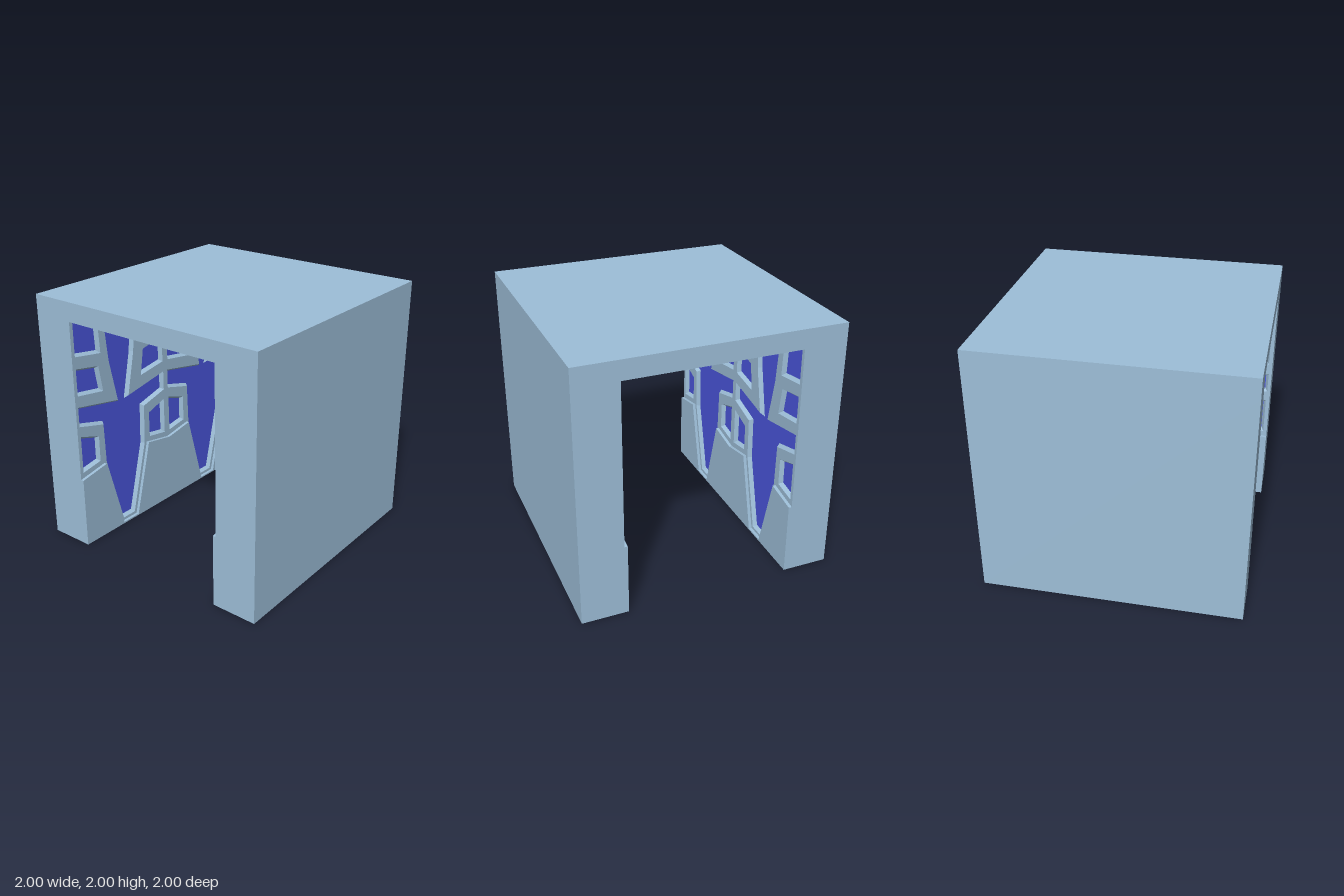
import * as THREE from 'three';

const stone = new THREE.MeshStandardMaterial({ color: 0x9dbed8 });
stone.name = 'blue grey stone';
const glass = new THREE.MeshStandardMaterial({ color: 0x4b57de });
glass.name = 'deep blue glass';

// Distances from the tunnel axis to each layer of the inner walls
const PANEL = 0.64, FRAME = 0.665, GLASS = 0.695, CORE = 0.7;
const CEILING = 1.852, INSET = 0.02;

const vecs = (pts) => pts.map(([x, y]) => new THREE.Vector2(x, y));

function add(parent, name, geometry, material, x = 0, y = 0, z = 0) {
  const mesh = new THREE.Mesh(geometry, material);
  mesh.name = name;
  mesh.position.set(x, y, z);
  parent.add(mesh);
  return mesh;
}

// Shrinks a counter-clockwise outline by a constant distance
function shrink(pts, d) {
  const normal = (a, b) => new THREE.Vector2(a.y - b.y, b.x - a.x).normalize();
  return pts.map((p, i) => {
    const n1 = normal(pts[(i + pts.length - 1) % pts.length], p);
    const n2 = normal(p, pts[(i + 1) % pts.length]);
    const k = d / (1 + n1.dot(n2));
    return p.clone().add(n1.add(n2).multiplyScalar(k));
  });
}

// Sloping rim from an opening's edge down to the glass
function rimGeometry(pts) {
  const inner = shrink(pts, INSET);
  const pos = [];
  pts.forEach((p, i) => {
    const j = (i + 1) % pts.length;
    const a = [p.x, p.y, -FRAME], b = [pts[j].x, pts[j].y, -FRAME];
    const c = [inner[j].x, inner[j].y, -GLASS], d = [inner[i].x, inner[i].y, -GLASS];
    pos.push(...a, ...b, ...c, ...a, ...c, ...d);
  });
  const g = new THREE.BufferGeometry();
  g.setAttribute('position', new THREE.Float32BufferAttribute(pos, 3));
  g.computeVertexNormals();
  return g;
}

// Right half of a branching opening, from its foot up into the ceiling
const treeHalf = [
  [0.065, 0.035], [0.22, 0.62], [0.23, 0.95], [0.475, 1.015],
  [0.475, 1.175], [0.06, 1.1], [0.135, 1.45], [0.18, 1.9],
];
// Windows on one side of a post: lower, middle and top
const windowShapes = [
  [[0.03, 0.625], [0.215, 0.655], [0.215, 0.87], [0.03, 0.93]],
  [[0.03, 1.265], [0.29, 1.225], [0.255, 1.44], [0.03, 1.48]],
  [[0.03, 1.575], [0.285, 1.535], [0.265, 1.9], [0.03, 1.9]],
];

function openings() {
  const list = [];
  for (const c of [-0.5, 0.5]) {
    const left = treeHalf.map(([x, y]) => [-x, y]).reverse();
    list.push([...treeHalf, ...left].map(([x, y]) => [c + x, y]));
  }
  for (const c of [-1, 0, 1]) for (const s of [-1, 1]) {
    if (Math.abs(c + s * 0.1) > 1) continue;
    for (const w of windowShapes) {
      const pts = w.map(([x, y]) => [c + s * x, y]);
      list.push(s < 0 ? pts.reverse() : pts);
    }
  }
  return list.map(vecs);
}

// One decorated inner wall, drawn facing +z
function innerWall(name) {
  const wall = new THREE.Group();
  wall.name = name;

  // Pierced frame with sloping rims
  const holes = openings();
  const plate = new THREE.Shape(vecs([[-0.985, 0], [0.985, 0], [0.985, 1.93], [-0.985, 1.93]]));
  holes.forEach((h) => plate.holes.push(new THREE.Path(h)));
  add(wall, 'piercedFrame', new THREE.ShapeGeometry(plate), stone, 0, 0, -FRAME);
  holes.forEach((h) => add(wall, 'openingRim', rimGeometry(h), stone));

  // Posts closing both ends of the frame
  for (const s of [-1, 1]) {
    add(wall, 'endPost', new THREE.BoxGeometry(0.015, CEILING, 0.05), stone,
      s * 0.9925, CEILING / 2, -FRAME - 0.025);
  }

  // Blue glass behind the frame, in front of the solid wall
  add(wall, 'glass', new THREE.BoxGeometry(1.96, CEILING - 0.02, 0.004), glass,
    0, CEILING / 2 + 0.01, -GLASS - 0.002);

  // Raised lower panel with a zigzag top
  const top = [];
  for (const c of [0.5, -0.5]) {
    top.push([c + 0.5, 0.575], [c + 0.245, 0.62], [c + 0.085, 0.012],
      [c - 0.085, 0.012], [c - 0.245, 0.62]);
  }
  const panel = new THREE.Shape(vecs([[-1, 0], [1, 0], ...top, [-1, 0.575]]));
  add(wall, 'lowerPanel',
    new THREE.ExtrudeGeometry(panel, { depth: CORE - PANEL, bevelEnabled: false }),
    stone, 0, 0, -CORE);
  return wall;
}

export function createModel() {
  const model = new THREE.Group();
  model.name = 'tunnelSection';

  // Roof slab and outer walls
  add(model, 'roof', new THREE.BoxGeometry(2, 2 - CEILING, 2), stone, 0, (2 + CEILING) / 2, 0);
  const thick = 1 - CORE;
  for (const s of [-1, 1]) {
    add(model, s > 0 ? 'leftOuterWall' : 'rightOuterWall',
      new THREE.BoxGeometry(thick, CEILING, 2), stone, s * (1 - thick / 2), CEILING / 2, 0);
    const wall = innerWall(s > 0 ? 'leftInnerWall' : 'rightInnerWall');
    wall.rotation.y = -s * Math.PI / 2;
    model.add(wall);
  }
  return model;
}
